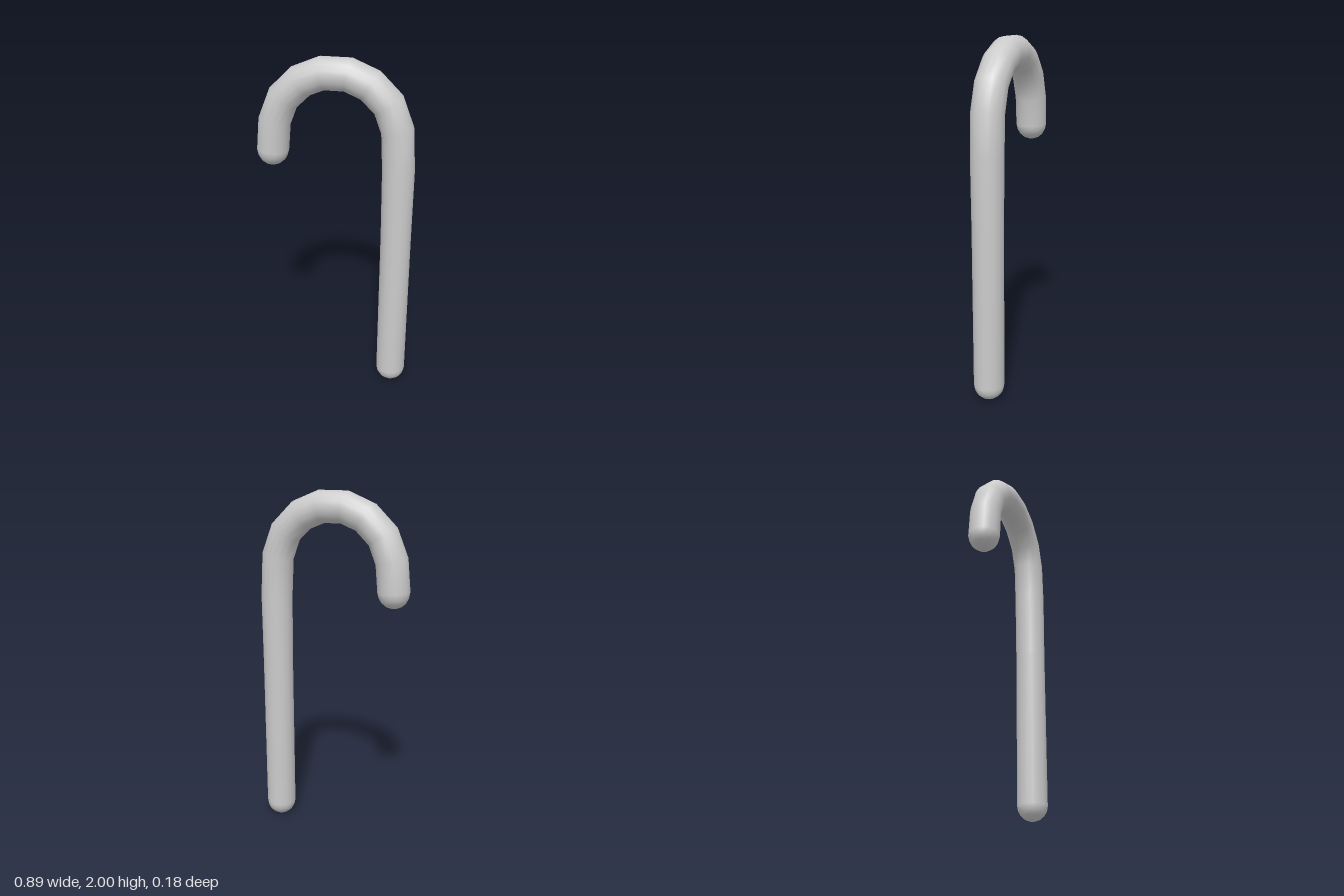
import * as THREE from 'three';

const SIDES = 16;

// Rings swept along a path in the XY plane: each ring is [x, y, radius]
function sweep(rings) {
  const pos = [], index = [];
  rings.forEach(([x, y, r], i) => {
    const a = rings[Math.max(i - 1, 0)], b = rings[Math.min(i + 1, rings.length - 1)];
    // tangent is the bisector of the neighbouring segments
    const d1 = new THREE.Vector2(x - a[0], y - a[1]).normalize();
    const d2 = new THREE.Vector2(b[0] - x, b[1] - y).normalize();
    const t = d1.add(d2).normalize();
    for (let j = 0; j < SIDES; j++) {
      const ang = (j / SIDES) * Math.PI * 2;
      const c = Math.cos(ang) * r;
      pos.push(x + t.y * c, y - t.x * c, Math.sin(ang) * r);
    }
  });
  for (let i = 0; i < rings.length - 1; i++) {
    for (let j = 0; j < SIDES; j++) {
      const k = (j + 1) % SIDES;
      const a = i * SIDES + j, b = i * SIDES + k;
      index.push(a, a + SIDES, b, b, a + SIDES, b + SIDES);
    }
  }
  // close both tips with a fan around a pole
  const pole = pos.length / 3, last = (rings.length - 1) * SIDES;
  const end = rings[rings.length - 1];
  pos.push(rings[0][0], rings[0][1] - 0.002, 0, end[0], end[1] - 0.002, 0);
  for (let j = 0; j < SIDES; j++) {
    const k = (j + 1) % SIDES;
    index.push(pole, j, k, pole + 1, last + k, last + j);
  }
  const g = new THREE.BufferGeometry();
  g.setAttribute('position', new THREE.Float32BufferAttribute(pos, 3));
  g.setIndex(index);
  g.computeVertexNormals();
  return g;
}

// Rounded tip facing down, listed from the tip upward
function tip(x, y, r) {
  return [80, 60, 40, 20].map((deg) => {
    const a = THREE.MathUtils.degToRad(deg);
    return [x, y - r * Math.sin(a), r * Math.cos(a)];
  });
}

export function createModel() {
  const group = new THREE.Group();
  group.name = 'cane';

  const shaftR = 0.087, hookR = 0.09;
  const shaft = [[0.353, 0.088, shaftR], [0.353, 1.0, shaftR], [0.352, 1.4, 0.09]];
  const hook = [
    [0.339, 1.63], [0.287, 1.767], [0.188, 1.864], [0.069, 1.913],
    [-0.069, 1.913], [-0.188, 1.864], [-0.287, 1.767], [-0.339, 1.637], [-0.354, 1.47],
  ].map(([x, y]) => [x, y, hookR]);

  // shaft, bent handle and both rounded tips as one skin
  const rings = [
    ...tip(0.353, 0.088, shaftR), ...shaft, ...hook,
    ...tip(-0.355, 1.468, 0.088).reverse(),
  ];
  const mesh = new THREE.Mesh(sweep(rings), new THREE.MeshStandardMaterial({ color: 0xcccccc }));
  mesh.name = 'hookedStick';
  group.add(mesh);
  return group;
}
